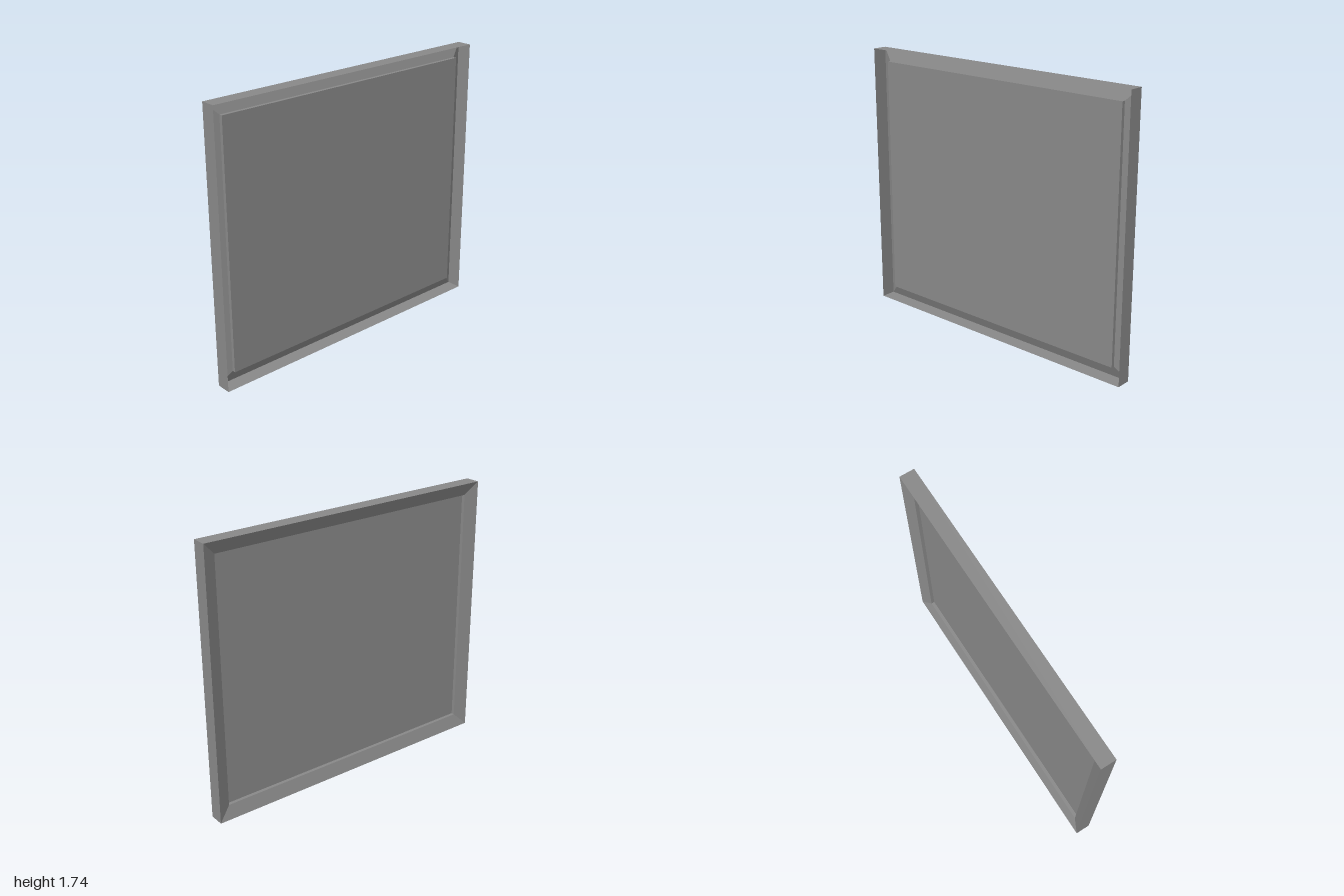
import * as THREE from 'three';

const HEIGHT = 1.738;  // along y
const HALF = 1;        // half length along z
const INSET = 0.081;   // width of the bevelled border

const material = new THREE.MeshStandardMaterial({
  color: 0x888888, flatShading: true, side: THREE.DoubleSide,
});

// Corners of an upright rectangle at depth x, shrunk by inset on every side
function ring(x, inset) {
  const z = HALF - inset, low = inset, high = HEIGHT - inset;
  return [[x, low, z], [x, low, -z], [x, high, -z], [x, high, z]];
}

// Four-sided band joining two rectangles, given as [x, inset]
function band(name, from, to) {
  const a = ring(...from), b = ring(...to), points = [];
  for (let i = 0; i < 4; i++) {
    const j = (i + 1) % 4;
    points.push(...a[i], ...b[i], ...b[j], ...a[i], ...b[j], ...a[j]);
  }
  const geometry = new THREE.BufferGeometry();
  geometry.setAttribute('position', new THREE.Float32BufferAttribute(points, 3));
  geometry.computeVertexNormals();
  const mesh = new THREE.Mesh(geometry, material);
  mesh.name = name;
  return mesh;
}

export function createModel() {
  const group = new THREE.Group();
  group.name = 'framedPanel';

  const openRim = [0.048, 0];
  const faceRim = [-0.048, 0];
  const bevelEnd = [-0.015, INSET];
  const panelEdge = [0.007, INSET];

  // Thin shell: outer walls, sloping border, then a straight step to the panel
  group.add(
    band('outerWalls', openRim, faceRim),
    band('bevelledBorder', faceRim, bevelEnd),
    band('innerStep', bevelEnd, panelEdge),
  );

  // Flat panel facing -x, closing the step
  const panel = new THREE.Mesh(
    new THREE.PlaneGeometry(2 * (HALF - INSET), HEIGHT - 2 * INSET), material);
  panel.name = 'panel';
  panel.rotation.y = -Math.PI / 2;
  panel.position.set(panelEdge[0], HEIGHT / 2, 0);
  group.add(panel);

  return group;
}
